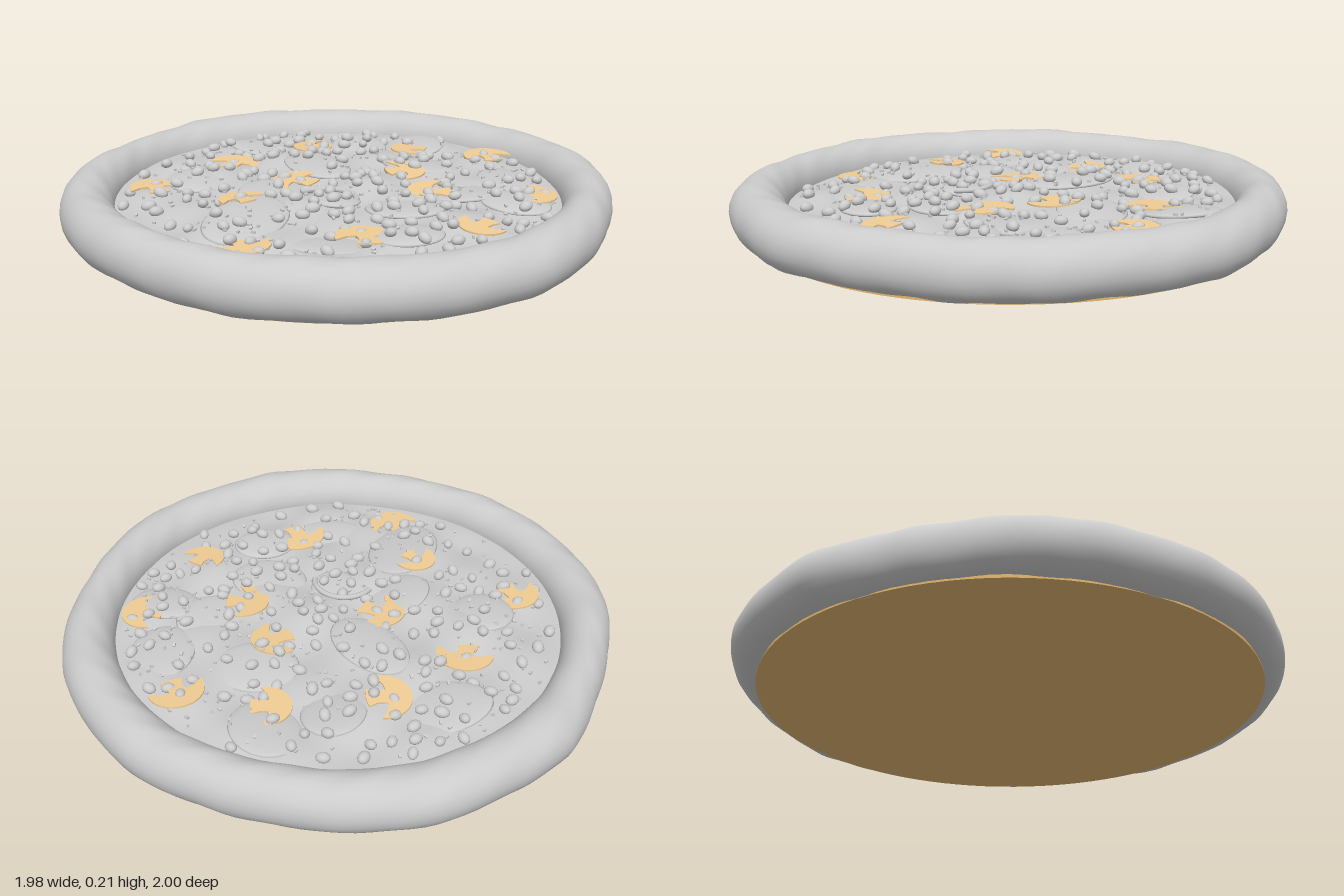
import * as THREE from 'three';
import { mergeGeometries, mergeVertices } from 'three/addons/utils/BufferGeometryUtils.js';

const grey = new THREE.MeshStandardMaterial({ color: 0xcccccc });
const greyThin = new THREE.MeshStandardMaterial({ color: 0xcccccc, side: THREE.DoubleSide });
const tan = new THREE.MeshStandardMaterial({ color: 0xf0cc94 });
const brown = new THREE.MeshStandardMaterial({ color: 0xe3b670 });

let seed = 11;
const rand = () => (seed = (seed * 16807) % 2147483647) / 2147483647;

// Crust outer radius every 15 degrees, counter-clockwise from +x seen from above
const OUTER = [0.99, 0.985, 0.99, 0.975, 0.975, 0.985, 1, 0.99, 1, 0.965, 0.965, 0.99,
  0.99, 0.985, 0.98, 0.97, 0.98, 0.99, 1, 0.99, 1, 0.98, 0.965, 0.98];

function outerRadius(angle) {
  const t = ((angle / (Math.PI * 2) + 1) % 1) * OUTER.length;
  const i = Math.floor(t);
  return THREE.MathUtils.lerp(OUTER[i % OUTER.length], OUTER[(i + 1) % OUTER.length], t - i);
}

// Gently domed, lumpy cheese surface
function cheeseHeight(x, z) {
  const fade = Math.max(0, 1 - (x * x + z * z) / 0.68);
  const lumps = Math.sin(9 * x + 4 * z) * Math.cos(8 * z - 3 * x) + 0.7 * Math.sin(17 * x - 11 * z)
    + 0.5 * Math.sin(23 * z + 13 * x);
  return 0.113 + 0.035 * fade - 0.012 * z + 0.01 * lumps * Math.min(1, fade * 3);
}

// Overlapping slices under the toppings: x, z, half width, half depth, turn
const SLICES = [
  [-0.13, -0.57, 0.21, 0.13, 0.2], [0.18, -0.5, 0.11, 0.13, 0.4], [0.41, -0.5, 0.12, 0.14, 0],
  [-0.04, -0.23, 0.11, 0.18, -0.3], [-0.5, -0.16, 0.11, 0.12, 0], [0.36, -0.2, 0.15, 0.12, 0.5],
  [0.65, 0, 0.12, 0.15, 0.2], [0.43, 0.12, 0.14, 0.13, 0], [-0.37, 0.31, 0.13, 0.2, 0.6],
  [-0.1, 0.53, 0.17, 0.11, 0.1], [0.13, 0.53, 0.12, 0.1, 0], [0.58, 0.27, 0.13, 0.1, 0.7],
  [-0.04, 0.15, 0.09, 0.1, 0], [-0.22, 0.03, 0.16, 0.12, -0.5], [0.18, 0.28, 0.14, 0.12, 0.4],
].map(([x, z, a, b, turn]) => ({
  x, z, a, b, c: Math.cos(turn), s: Math.sin(turn),
  y: cheeseHeight(x, z) - 0.004, sx: (rand() - 0.5) * 0.28, sz: (rand() - 0.5) * 0.28,
}));
const THICK = 0.017;

// Height of the cheese and slices together
function topHeight(x, z) {
  let h = cheeseHeight(x, z);
  for (const p of SLICES) {
    const dx = x - p.x, dz = z - p.z;
    const u = (p.c * dx + p.s * dz) / p.a, v = (p.c * dz - p.s * dx) / p.b;
    const d = u * u + v * v;
    if (d < 1) h = Math.max(h, p.y + p.sx * dx + p.sz * dz + THICK * Math.sqrt(1 - d));
  }
  return h;
}

// Moves every vertex by a rule
function deform(geometry, rule) {
  const pos = geometry.attributes.position, v = new THREE.Vector3();
  for (let i = 0; i < pos.count; i++) {
    rule(v.fromBufferAttribute(pos, i));
    pos.setXYZ(i, v.x, v.y, v.z);
  }
  geometry.computeVertexNormals();
  return geometry;
}

function makeCrust() {
  let g = new THREE.TorusGeometry(0.9, 0.1, 24, 144).rotateX(-Math.PI / 2);
  g.deleteAttribute('uv');
  g.deleteAttribute('normal');
  g = mergeVertices(g, 1e-4);
  return deform(g, (v) => {
    const a = Math.atan2(-v.z, v.x), r = Math.hypot(v.x, v.z);
    const k = (0.8 + (r - 0.8) * (outerRadius(a) - 0.8) / 0.2) / r;
    const wave = 0.003 * Math.sin(7 * a + 1) + 0.002 * Math.sin(19 * a) + 0.0015 * Math.sin(31 * a + 60 * r);
    v.set(v.x * k, 0.11 + v.y * 0.97 + wave, v.z * k);
  });
}

function makeSlice(p) {
  return deform(new THREE.SphereGeometry(1, 32, 12), (v) => {
    const u = v.x * p.a, w = v.z * p.b;
    const dx = p.c * u - p.s * w, dz = p.s * u + p.c * w;
    v.set(p.x + dx, p.y + p.sx * dx + p.sz * dz + v.y * THICK, p.z + dz);
  });
}

// Cross-cut mushroom: half-moon cap with a flared stem
function makeMushroom() {
  const s = new THREE.Shape();
  s.absarc(0, -0.03, 0.1, -0.15, Math.PI + 0.15, false);
  s.lineTo(-0.06, -0.02);
  s.lineTo(-0.03, -0.015);
  s.lineTo(-0.028, -0.05);
  s.lineTo(-0.04, -0.08);
  s.quadraticCurveTo(0, -0.09, 0.04, -0.08);
  s.lineTo(0.028, -0.05);
  s.lineTo(0.03, -0.015);
  s.lineTo(0.06, -0.02);
  return new THREE.ExtrudeGeometry(s, { depth: 0.006, bevelEnabled: false, curveSegments: 20 })
    .rotateX(-Math.PI / 2);
}

// Mushroom x, z, direction of the cap in degrees (0 = back, 90 = right side) and size
const MUSHROOMS = [
  [-0.02, -0.5, 80, 1], [-0.33, -0.38, -35, 1], [0.36, -0.42, 75, 0.9], [0.64, -0.27, 10, 0.95],
  [-0.66, -0.12, 15, 0.95], [-0.15, -0.07, 45, 1.05], [0.28, -0.1, -80, 0.95], [-0.38, 0.17, 25, 0.8],
  [0.29, 0.15, 70, 1], [0.68, 0.23, -110, 0.95], [-0.4, 0.53, 190, 0.95], [-0.01, 0.51, 0, 1.05],
  [0.37, 0.51, 125, 0.85],
];

// Resting height of a flat piece of the given radius
function restHeight(x, z, r) {
  let sum = 0;
  for (let i = 0; i < 8; i++) {
    const a = i * Math.PI / 4;
    sum += topHeight(x + r * Math.cos(a), z + r * Math.sin(a)) / 8;
  }
  return Math.max(sum, topHeight(x, z)) + 0.007;
}

// Scatters copies of a small geometry over the topping
function scatter(geometry, count, gap, lift) {
  const spots = [], copies = [];
  const m = new THREE.Matrix4(), q = new THREE.Quaternion(), e = new THREE.Euler();
  for (let tries = 0; spots.length < count && tries < 20000; tries++) {
    const r = 0.775 * Math.sqrt(rand()), a = rand() * Math.PI * 2;
    const x = r * Math.cos(a), z = r * Math.sin(a);
    if (spots.some(([sx, sz]) => Math.hypot(sx - x, sz - z) < gap)) continue;
    spots.push([x, z]);
    e.set((rand() - 0.5) * 0.6, rand() * Math.PI * 2, (rand() - 0.5) * 0.6);
    const size = 0.9 + rand() * 0.2;
    m.compose(new THREE.Vector3(x, topHeight(x, z) + lift, z), q.setFromEuler(e),
      new THREE.Vector3(size, size, size));
    copies.push(geometry.clone().applyMatrix4(m));
  }
  return mergeGeometries(copies);
}

export function createModel() {
  const pizza = new THREE.Group();
  pizza.name = 'pizza';
  const add = (name, geometry, material) => {
    const mesh = new THREE.Mesh(geometry, material);
    mesh.name = name;
    pizza.add(mesh);
    return mesh;
  };

  // Dough
  add('crust', makeCrust(), grey);
  add('base', new THREE.CylinderGeometry(0.9, 0.9, 0.02, 96).translate(0, 0.018, 0), brown);

  // Cheese and slices
  const cheese = new THREE.RingGeometry(0.001, 0.83, 96, 40).rotateX(-Math.PI / 2);
  add('cheese', deform(cheese, (v) => { v.y = cheeseHeight(v.x, v.z); }), greyThin);
  SLICES.forEach((p) => add('toppingSlice', makeSlice(p), grey));

  // Curled onion strip
  const curl = new THREE.TorusGeometry(0.11, 0.01, 8, 32, Math.PI * 0.85).rotateX(-Math.PI / 2);
  const onion = add('onionCurl', curl, grey);
  onion.position.set(-0.08, topHeight(-0.04, 0.1) + 0.005, 0.17);
  onion.rotation.y = -0.4;

  // Mushrooms
  const mushroom = makeMushroom();
  MUSHROOMS.forEach(([x, z, turn, size]) => {
    const mesh = add('mushroom', mushroom, tan);
    mesh.position.set(x, restHeight(x, z, 0.07), z);
    mesh.rotation.set((rand() - 0.5) * 0.1, THREE.MathUtils.degToRad(turn), (rand() - 0.5) * 0.1);
    mesh.scale.set(size, 1, size);
  });

  // Corn kernels and herb flecks
  add('kernels', scatter(new THREE.SphereGeometry(1, 12, 8).scale(0.025, 0.017, 0.019), 195, 0.055, 0.01), grey);
  add('herbFlecks', scatter(new THREE.BoxGeometry(0.013, 0.008, 0.008), 320, 0.015, 0.003), grey);
  return pizza;
}
